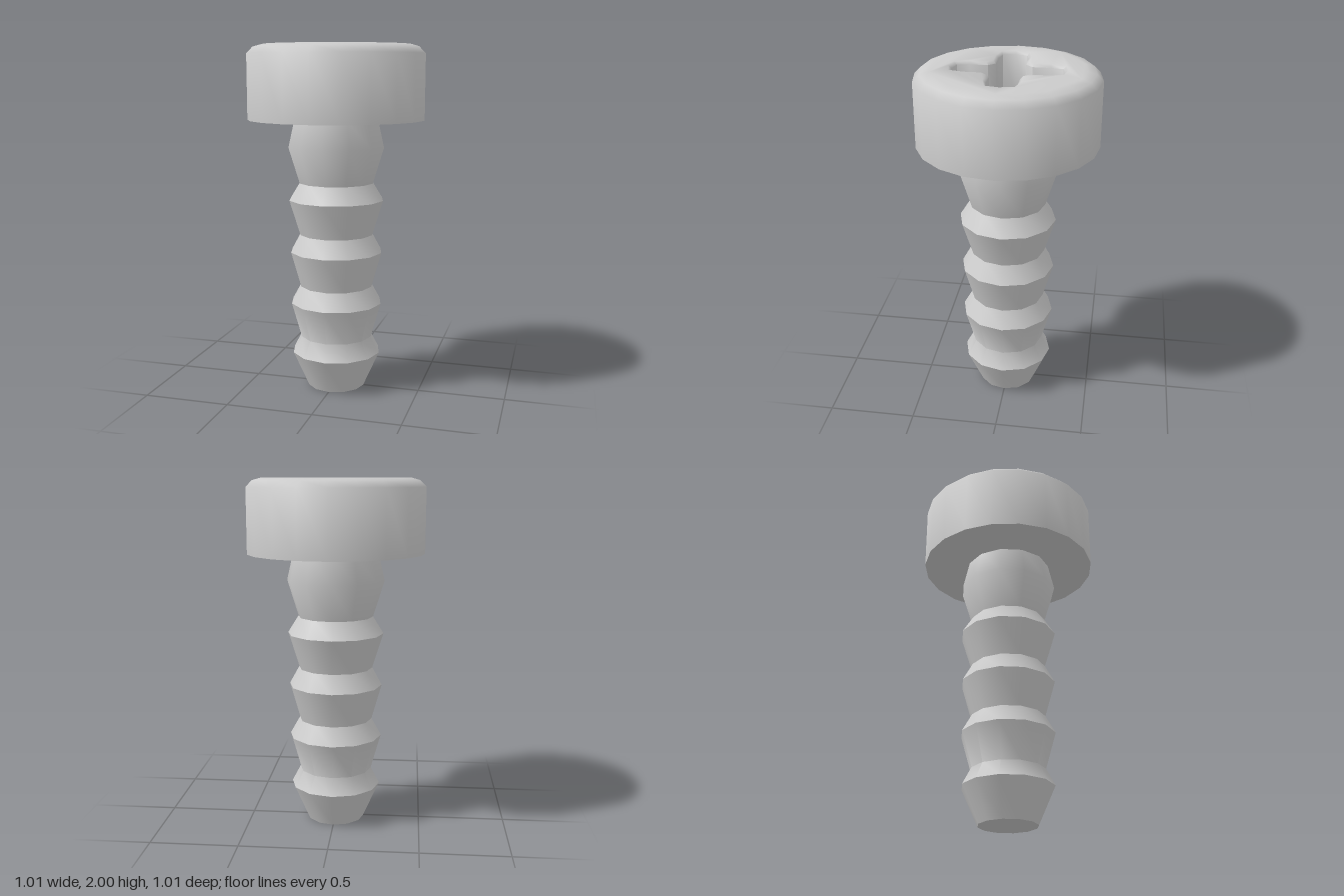
import * as THREE from 'three';
import { mergeGeometries, toCreasedNormals } from 'three/addons/utils/BufferGeometryUtils.js';

const HEAD_SIDES = 20, SHAFT_SIDES = 12, TOP = 2, TOP_RADIUS = 0.42;
const lathe = (profile, sides) =>
  new THREE.LatheGeometry(profile.map(([r, y]) => new THREE.Vector2(r, y)), sides);

// Counter-clockwise outline of the cross recess, widened by g
function crossOutline(g) {
  const arm = [
    [0.303 + g, 0], [0.288 + g, 0.069 + g / 2], [0.22, 0.082 + g], [0.12 + g * 0.4, 0.082 + g],
    [0.082 + g, 0.12 + g * 0.4], [0.082 + g, 0.22], [0.069 + g / 2, 0.288 + g],
  ];
  const points = [];
  for (let q = 0; q < 4; q++) {
    for (const [x, y] of arm) {
      points.push(new THREE.Vector2(x, y).rotateAround(new THREE.Vector2(), q * Math.PI / 2));
    }
  }
  return points;
}

// Horizontal flat face at height y
const flat = (shape, y) => new THREE.ShapeGeometry(shape).rotateX(-Math.PI / 2).translate(0, y, 0);

// Inward-facing walls through rings listed from top to bottom
function recessWalls(rings) {
  const n = rings[0].points.length, position = [], index = [];
  for (const { points, y } of rings) for (const p of points) position.push(p.x, y, -p.y);
  for (let k = 0; k < rings.length - 1; k++) {
    for (let i = 0; i < n; i++) {
      const j = (i + 1) % n, t = k * n, b = t + n;
      index.push(b + i, t + i, t + j, b + i, t + j, b + j);
    }
  }
  const geometry = new THREE.BufferGeometry();
  geometry.setAttribute('position', new THREE.Float32BufferAttribute(position, 3));
  geometry.setIndex(index);
  return geometry;
}

// Joins pieces and shades them smoothly except at sharp edges
function smoothJoin(pieces, crease) {
  const bare = pieces.map((piece) => {
    const g = piece.index ? piece.toNonIndexed() : piece;
    g.deleteAttribute('uv');
    g.deleteAttribute('normal');
    return g;
  });
  return toCreasedNormals(mergeGeometries(bare), crease);
}

function headGeometry() {
  const rim = crossOutline(0.016), wall = crossOutline(0), floorY = 1.76;
  // Top face with the cross cut out
  const disc = new THREE.Shape(Array.from({ length: HEAD_SIDES }, (_, i) => {
    const a = i / HEAD_SIDES * Math.PI * 2;
    return new THREE.Vector2(Math.cos(a) * TOP_RADIUS, Math.sin(a) * TOP_RADIUS);
  }));
  disc.holes.push(new THREE.Path(rim));
  return smoothJoin([
    // Underside, side and rounded shoulder
    lathe([[0, 1.58], [0.506, 1.58], [0.506, 1.95], [0.47, 1.986], [TOP_RADIUS, TOP]], HEAD_SIDES),
    flat(disc, TOP),
    recessWalls([{ points: rim, y: TOP }, { points: wall, y: TOP - 0.016 }, { points: wall, y: floorY }]),
    flat(new THREE.Shape(wall), floorY),
  ], 1.0);
}

function shaftGeometry() {
  // Tip cap, then ridge and groove pairs up to the head
  const profile = [
    [0, 0], [0.167, 0], [0.26, 0.21], [0.21, 0.305], [0.268, 0.51], [0.212, 0.61],
    [0.27, 0.815], [0.214, 0.917], [0.277, 1.12], [0.216, 1.218], [0.28, 1.425], [0.245, 1.58],
  ];
  return smoothJoin([lathe(profile, SHAFT_SIDES)], 0.75);
}

export function createModel() {
  const group = new THREE.Group();
  group.name = 'screw';
  const material = new THREE.MeshStandardMaterial({ color: 0xcccccc });
  for (const [name, geometry] of [['head', headGeometry()], ['threadedShaft', shaftGeometry()]]) {
    const mesh = new THREE.Mesh(geometry, material);
    mesh.name = name;
    group.add(mesh);
  }
  return group;
}
